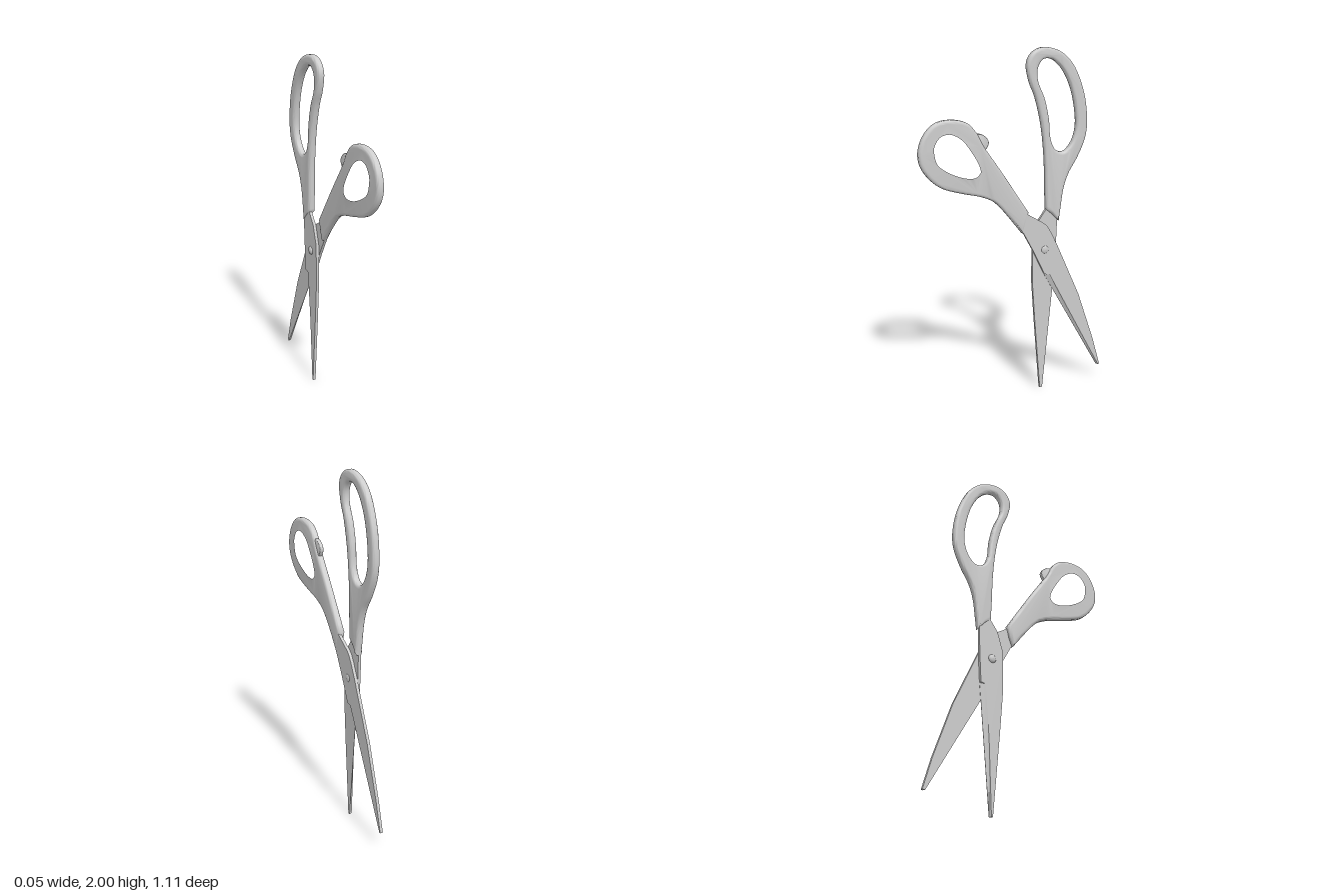
import * as THREE from 'three';
import { toCreasedNormals } from 'three/addons/utils/BufferGeometryUtils.js';

const material = new THREE.MeshStandardMaterial({ color: 0xcccccc });
const vecs = (pts) => pts.map(([s, y]) => new THREE.Vector2(s, y));

// Shapes are drawn in (-z, y) and extruded along +x.
function place(name, geometry, x, crease = 0.6) {
  geometry.translate(0, 0, x);
  geometry.rotateY(Math.PI / 2);
  const mesh = new THREE.Mesh(toCreasedNormals(geometry, crease), material);
  mesh.name = name;
  return mesh;
}

// Rounded grip: smooth outline closed by a straight-cut end, with a finger hole
function grip(name, outline, end, hole) {
  const shape = new THREE.Shape();
  shape.moveTo(...outline[0]);
  shape.splineThru(vecs(outline.slice(1)));
  end.forEach((p) => shape.lineTo(...p));
  const loop = new THREE.CatmullRomCurve3(hole.map(([s, y]) => new THREE.Vector3(s, y, 0)), true);
  shape.holes.push(new THREE.Path(loop.getPoints(60).slice(0, -1).map((p) => new THREE.Vector2(p.x, p.y))));
  const round = 0.013;
  const geometry = new THREE.ExtrudeGeometry(shape, {
    depth: 0.042 - 2 * round, curveSegments: 4, bevelThickness: round,
    bevelSize: 0.018, bevelOffset: -0.018, bevelSegments: 4,
  });
  return place(name, geometry, -0.0205 + round, 0.9);
}

const THICK = 0.017;

// Blade: flat plate plus a ground strip that thins to the cutting edge on the inner face
function blade(name, plate, ridge, edge, x, outerSide) {
  const group = new THREE.Group();
  group.name = name;
  const options = { depth: THICK, bevelEnabled: false };
  const body = new THREE.ExtrudeGeometry(new THREE.Shape(vecs([...plate, ...ridge])), options);
  group.add(place(name + 'Plate', body, x));

  const strip = new THREE.ExtrudeGeometry(new THREE.Shape(vecs([...ridge, ...edge])), options);
  const pos = strip.attributes.position;
  const outer = outerSide > 0 ? THICK : 0;
  for (let i = 0; i < pos.count; i++) {
    const onEdge = edge.some(([s, y]) => Math.hypot(pos.getX(i) - s, pos.getY(i) - y) < 1e-4);
    if (onEdge && Math.abs(pos.getZ(i) - outer) < 1e-4) {
      pos.setZ(i, outerSide > 0 ? 0.002 : THICK - 0.002);
    }
  }
  group.add(place(name + 'CuttingEdge', strip, x, 0.2));
  return group;
}

export function createModel() {
  const model = new THREE.Group();
  model.name = 'scissors';

  // Small thumb grip
  model.add(grip('thumbGrip',
    [[0.04, 0.975], [-0.1, 1.147], [-0.193, 1.205], [-0.326, 1.242], [-0.442, 1.285], [-0.527, 1.369],
      [-0.557, 1.46], [-0.532, 1.554], [-0.469, 1.623], [-0.384, 1.642], [-0.289, 1.623], [-0.23, 1.565],
      [-0.188, 1.487], [-0.077, 1.327], [0.077, 1.094]],
    [[0.061, 1.03]],
    [[-0.49, 1.465], [-0.488, 1.513], [-0.448, 1.57], [-0.384, 1.585], [-0.31, 1.55], [-0.246, 1.47],
      [-0.2, 1.385], [-0.195, 1.343], [-0.23, 1.306], [-0.3, 1.306], [-0.405, 1.348], [-0.47, 1.4]]));

  // Long finger grip
  model.add(grip('fingerGrip',
    [[0.267, 1.025], [0.278, 1.104], [0.294, 1.21], [0.326, 1.3], [0.379, 1.385], [0.426, 1.49],
      [0.437, 1.597], [0.416, 1.74], [0.358, 1.883], [0.278, 1.968], [0.177, 2.0], [0.103, 1.978],
      [0.066, 1.915], [0.082, 1.82], [0.119, 1.73], [0.156, 1.58], [0.177, 1.396], [0.183, 1.21], [0.188, 1.1]],
    [[0.22, 1.073]],
    [[0.13, 1.893], [0.162, 1.936], [0.21, 1.936], [0.267, 1.894], [0.326, 1.798], [0.363, 1.66],
      [0.368, 1.544], [0.336, 1.46], [0.289, 1.422], [0.241, 1.438], [0.21, 1.5], [0.199, 1.608],
      [0.172, 1.724], [0.13, 1.825]]));

  // Stop bumper on the thumb grip
  const bump = new THREE.Shape();
  bump.moveTo(-0.235, 1.535);
  bump.lineTo(-0.22, 1.558);
  bump.splineThru(vecs([[-0.193, 1.551], [-0.167, 1.528], [-0.159, 1.5], [-0.18, 1.462]]));
  bump.lineTo(-0.2, 1.47);
  model.add(place('stopBumper', new THREE.ExtrudeGeometry(bump, {
    depth: 0.012, curveSegments: 4, bevelThickness: 0.006, bevelSize: 0.006, bevelOffset: -0.006, bevelSegments: 3,
  }), -0.005, 0.9));

  // Blades, lying either side of the middle plane
  model.add(blade('leftBlade',
    [[0.177, 0.718], [0.108, 0.86], [0.045, 0.975], [0.0, 1.04], [0.04, 1.1], [0.077, 1.08], [0.167, 1.025],
      [0.19, 1.005], [0.214, 0.967], [0.252, 0.892], [0.4, 0.564], [0.506, 0.257], [0.553, 0.09]],
    [[0.545, 0.087], [0.39, 0.405], [0.209, 0.712]],
    [[0.177, 0.718], [0.356, 0.405], [0.537, 0.088]], 0.003, 1));
  model.add(blade('rightBlade',
    [[0.246, 0.716], [0.257, 0.89], [0.262, 1.03], [0.24, 1.12], [0.205, 1.12], [0.19, 1.095], [0.146, 1.036],
      [0.11, 0.92], [0.108, 0.68], [0.125, 0.44], [0.161, 0.0]],
    [[0.17, 0], [0.19, 0.4], [0.216, 0.71]],
    [[0.246, 0.716], [0.215, 0.4], [0.176, 0.001]], -0.016, -1));

  // Pivot rivet with domed heads
  const profile = vecs([[0, -0.027], [0.012, -0.0255], [0.02, -0.022], [0.024, -0.016],
    [0.024, 0.018], [0.02, 0.0225], [0.012, 0.0245], [0, 0.026]]);
  const rivet = new THREE.Mesh(new THREE.LatheGeometry(profile, 24), material);
  rivet.name = 'pivotRivet';
  rivet.rotation.z = -Math.PI / 2;
  rivet.position.set(0, 0.866, -0.178);
  model.add(rivet);

  return model;
}
